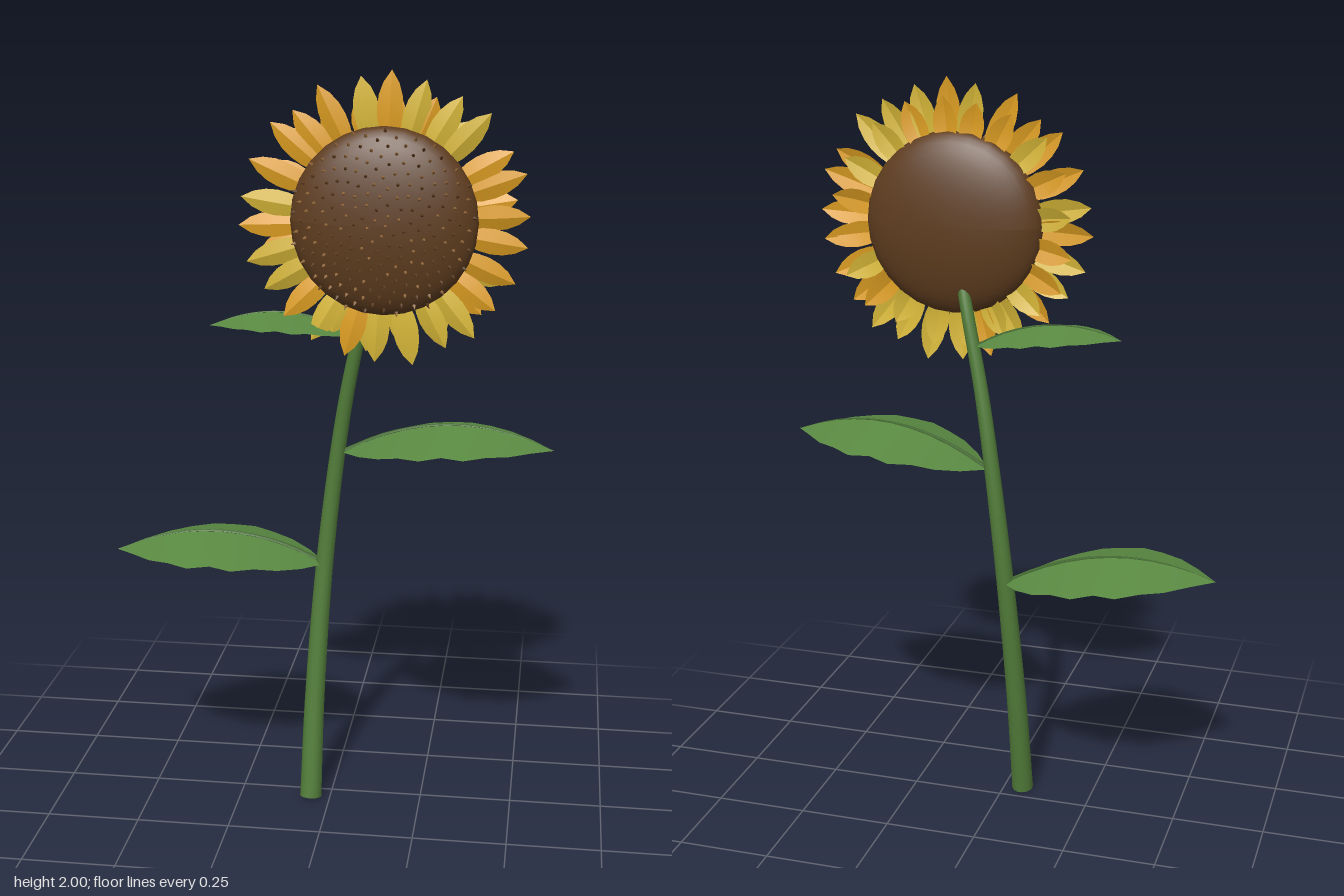
import * as THREE from 'three';
import { mergeGeometries, toCreasedNormals } from 'three/addons/utils/BufferGeometryUtils.js';

const V = (x, y, z) => new THREE.Vector3(x, y, z);

const mat = (name, color, side = THREE.FrontSide) => {
  const m = new THREE.MeshStandardMaterial({ color, side });
  m.name = name;
  return m;
};

// Small seeded random generator
function seeded(seed) {
  return () => {
    seed = (seed * 16807) % 2147483647;
    return seed / 2147483647;
  };
}

// Tube along a smooth path, radius running from r0 to r1, with closed ends
function taperedTube(points, r0, r1, segs, sides) {
  const curve = new THREE.CatmullRomCurve3(points);
  const geo = new THREE.TubeGeometry(curve, segs, 1, sides);
  const pos = geo.attributes.position;
  const centre = V(), p = V();
  for (let i = 0; i <= segs; i++) {
    curve.getPointAt(i / segs, centre);
    const r = THREE.MathUtils.lerp(r0, r1, i / segs);
    for (let j = 0; j <= sides; j++) {
      const k = i * (sides + 1) + j;
      p.fromBufferAttribute(pos, k).sub(centre).multiplyScalar(r).add(centre);
      pos.setXYZ(k, p.x, p.y, p.z);
    }
  }
  const caps = [0, 1].map((t) => {
    const cap = new THREE.CircleGeometry(t ? r1 : r0, sides);
    const dir = curve.getTangentAt(t).multiplyScalar(t ? 1 : -1);
    cap.applyQuaternion(new THREE.Quaternion().setFromUnitVectors(V(0, 0, 1), dir));
    const c = curve.getPointAt(t);
    return cap.translate(c.x, c.y, c.z);
  });
  geo.computeVertexNormals();
  return mergeGeometries([geo, ...caps]);
}

// Point on an arched midrib from base to tip
function ribPoint(base, tip, arch, t) {
  const p = base.clone().lerp(tip, t);
  p.y += 4 * arch * t * (1 - t);
  return p;
}

// Folded blade: cross-sections along the midrib, edges drooping by drop
function blade(base, tip, arch, widths, drop) {
  const pos = [], index = [];
  const n = widths.length - 1, cols = 5;
  const maxW = Math.max(...widths);
  widths.forEach((w, i) => {
    const c = ribPoint(base, tip, arch, i / n);
    for (let j = 0; j < cols; j++) {
      const s = (j / (cols - 1)) * 2 - 1;
      pos.push(c.x, c.y - drop * Math.abs(s) * (w / maxW), c.z + s * w);
      if (i < n && j < cols - 1) {
        const a = i * cols + j, b = a + cols;
        index.push(a, a + 1, b, b, a + 1, b + 1);
      }
    }
  });
  const geo = new THREE.BufferGeometry();
  geo.setAttribute('position', new THREE.Float32BufferAttribute(pos, 3));
  geo.setIndex(index);
  return toCreasedNormals(geo, 0.35);
}

export function createModel() {
  const group = new THREE.Group();
  const add = (name, geo, material, parent = group) => {
    const m = new THREE.Mesh(geo, material);
    m.name = name;
    parent.add(m);
    return m;
  };

  const stemGreen = mat('stem green', 0x527d3a);
  const leafGreen = mat('leaf green', 0x5a8a42, THREE.DoubleSide);
  const ribGreen = mat('rib green', 0x42692f);
  const brown = mat('disc brown', 0x5f3d1f);
  const tan = mat('seed tan', 0x94683a);
  const gold = mat('petal gold', 0xe0a022, THREE.DoubleSide);
  const yellow = mat('petal yellow', 0xd8b838, THREE.DoubleSide);

  // Stem
  add('stem', taperedTube([
    V(-0.053, 0.012, 0.052), V(-0.047, 0.3, 0.008), V(-0.025, 0.67, -0.032),
    V(0.012, 1.0, -0.036), V(0.045, 1.2, -0.02), V(0.09, 1.4, 0.006), V(0.11, 1.48, 0.025),
  ], 0.03, 0.016, 40, 14), stemGreen);

  // Leaves with scalloped edges and a raised midrib
  const leafWidths = [0, 0.08, 0.132, 0.157, 0.19, 0.178, 0.19, 0.156, 0.124, 0.065, 0];
  const leaves = [
    ['lowerLeaf', V(-0.02, 0.67, -0.036), V(-0.587, 0.71, 0.034), 1],
    ['middleLeaf', V(0.02, 0.99, -0.036), V(0.587, 1.035, 0.034), 1],
    ['upperLeaf', V(0.065, 1.318, -0.008), V(-0.315, 1.345, 0.046), 0.67],
  ];
  for (const [name, base, tip, size] of leaves) {
    const leaf = new THREE.Group();
    leaf.name = name;
    group.add(leaf);
    const arch = 0.073 * size;
    add('leafBlade', blade(base, tip, arch, leafWidths.map((w) => w * size), 0.042 * size), leafGreen, leaf);
    const rib = [0, 0.2, 0.4, 0.6, 0.8, 1].map((t) => ribPoint(base, tip, arch, t));
    add('midrib', taperedTube(rib, 0.007 * size, 0.001, 14, 6), ribGreen, leaf);
  }

  // Flower head
  const head = new THREE.Group();
  head.name = 'flowerHead';
  head.position.set(0.14, 1.627, 0.058);
  group.add(head);
  const R = 0.24, D = 0.075;
  const disc = new THREE.SphereGeometry(1, 28, 20).rotateX(Math.PI / 2).scale(R, R, D);
  disc.computeVertexNormals();
  add('disc', disc, brown, head);

  // Seeds in a spiral over the front of the disc
  const rand = seeded(77);
  const seeds = [[], []];
  const total = 210;
  for (let i = 0; i < total; i++) {
    const r = 0.985 * Math.sqrt((i + 0.5) / total), a = i * 2.39996;
    const x = r * Math.cos(a) * R, y = r * Math.sin(a) * R, z = D * Math.sqrt(1 - r * r);
    const normal = V(x / (R * R), y / (R * R), z / (D * D)).normalize();
    const seed = new THREE.ConeGeometry(0.0065, 0.018, 5).translate(0, 0.004, 0);
    seed.applyQuaternion(new THREE.Quaternion().setFromUnitVectors(V(0, 1, 0), normal));
    seeds[rand() < 0.5 ? 1 : 0].push(seed.translate(x, y, z));
  }
  add('darkSeeds', mergeGeometries(seeds[0]), brown, head);
  add('lightSeeds', mergeGeometries(seeds[1]), tan, head);

  // Petals: a long outer ring and a shorter ring behind it
  const petalWidths = [0.012, 0.022, 0.03, 0.033, 0.03, 0.02, 0];
  const petals = [[], []];
  const ring = (count, offset, reach, vary, z) => {
    for (let i = 0; i < count; i++) {
      const a = ((i + offset + (rand() - 0.5) * 0.35) / count) * Math.PI * 2;
      const len = reach - vary * rand() - 0.19;
      const geo = blade(V(0, 0, 0), V(len, 0, 0), 0.007, petalWidths, 0.008);
      geo.rotateX(Math.PI / 2).rotateX((rand() - 0.5) * 0.3).translate(0.19, 0, z).rotateZ(a);
      petals[rand() < 0.5 ? 0 : 1].push(geo);
    }
  };
  ring(26, 0.25, 0.382, 0.025, -0.004);
  ring(20, 0.6, 0.345, 0.03, -0.012);
  add('goldPetals', mergeGeometries(petals[0]), gold, head);
  add('yellowPetals', mergeGeometries(petals[1]), yellow, head);

  return group;
}
